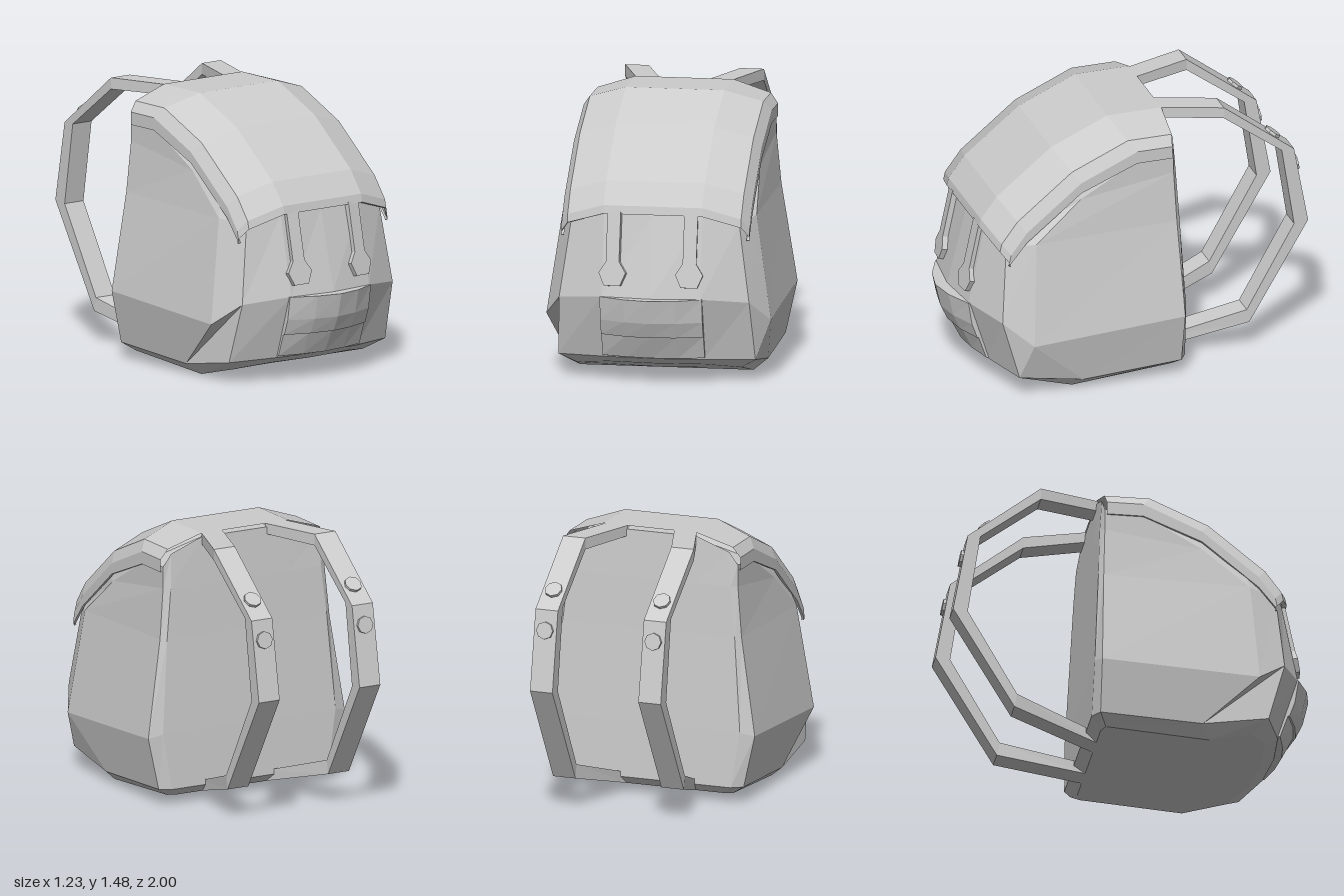
import * as THREE from 'three';

const material = new THREE.MeshStandardMaterial({ color: 0xcccccc, flatShading: true, side: THREE.DoubleSide });

// Skins a grid of points; rows[i][j] = [x, y, z]
function loft(rows) {
  const pos = [], a = new THREE.Vector3(), b = new THREE.Vector3(), c = new THREE.Vector3();
  const tri = (p, q, r) => {
    a.fromArray(p); b.fromArray(q).sub(a); c.fromArray(r).sub(a);
    if (b.cross(c).length() > 1e-7) pos.push(...p, ...q, ...r);
  };
  for (let i = 0; i < rows.length - 1; i++) {
    for (let j = 0; j < rows[i].length - 1; j++) {
      tri(rows[i][j], rows[i + 1][j], rows[i][j + 1]);
      tri(rows[i][j + 1], rows[i + 1][j], rows[i + 1][j + 1]);
    }
  }
  const g = new THREE.BufferGeometry();
  g.setAttribute('position', new THREE.Float32BufferAttribute(pos, 3));
  g.computeVertexNormals();
  return g;
}

function part(parent, name, geometry) {
  const m = new THREE.Mesh(geometry, material);
  m.name = name;
  parent.add(m);
  return m;
}

// Body ring: flat back panel, then corner, side and front points, mirrored
function bodyRing(y, z, points) {
  const half = [[0, y, z], [0.27, y, z], ...points];
  const mirrored = half.slice(0, -1).reverse().map(([px, py, pz]) => [-px, py, pz]);
  return [...half, ...mirrored];
}

function bodyGeometry() {
  const rings = [
    bodyRing(0.04, -0.2, [[0.42, 0.04, -0.2], [0.475, 0.04, -0.18], [0.475, 0, 0.38], [0.45, 0.06, 0.62], [0.27, 0.09, 0.72], [0, 0.09, 0.74]]),
    bodyRing(0.09, -0.26, [[0.49, 0.09, -0.26], [0.55, 0.09, -0.22], [0.55, 0.06, 0.34], [0.54, 0.12, 0.7], [0.27, 0.13, 0.79], [0, 0.13, 0.81]]),
    bodyRing(0.4, -0.25, [[0.54, 0.4, -0.25], [0.615, 0.38, -0.22], [0.615, 0.33, 0.64], [0.52, 0.45, 0.79], [0.27, 0.48, 0.9], [0, 0.48, 0.93]]),
    bodyRing(0.92, -0.225, [[0.5, 0.92, -0.225], [0.53, 0.92, -0.2], [0.53, 0.9, 0.6], [0.46, 0.87, 0.75], [0.27, 0.92, 0.81], [0, 0.92, 0.82]]),
    bodyRing(1.2, -0.213, [[0.47, 1.2, -0.213], [0.505, 1.2, -0.19], [0.505, 1.12, 0.34], [0.46, 1.12, 0.54], [0.27, 1.2, 0.57], [0, 1.2, 0.57]]),
    bodyRing(1.46, -0.2, [[0.46, 1.39, -0.2], [0.505, 1.32, -0.19], [0.505, 1.3, 0.02], [0.46, 1.38, 0.05], [0.27, 1.455, 0.1], [0, 1.46, 0.1]]),
  ];
  const cap = (y, z) => rings[0].map(() => [0, y, z]);
  return loft([cap(0, 0.38), ...rings, cap(1.46, -0.05)]);
}

// Lid: rounded section swept along the top profile, with a turned-in lip
function flapGeometry() {
  const profile = [ // z, y, sideways shift in z, drop of the side band
    [-0.2, 1.48, 0.02, 0.07], [0.11, 1.48, -0.09, 0.07], [0.43, 1.34, -0.09, 0.06],
    [0.74, 1.09, -0.09, 0.06], [0.83, 0.97, -0.09, 0.05], [0.84, 0.925, -0.09, 0.02], [0.81, 0.92, -0.07, 0.02],
  ];
  return loft(profile.map(([z, y, dz, drop]) => {
    const half = [
      [0.27, y, z], [0.475, y - 0.065, z + dz * 0.55], [0.515, y - 0.12, z + dz],
      [0.515, y - 0.12 - drop, z + dz], [0.5, y - 0.12 - drop, z + dz],
    ];
    return [...half.map(([px, py, pz]) => [-px, py, pz]).reverse(), ...half];
  }));
}

// Bowed front pocket with a stepped cover
function pocketGeometry() {
  const rows = [ // y, centre z, bow depth
    [0.48, 0.85, 0], [0.48, 0.998, 0.095], [0.35, 0.968, 0.085], [0.265, 0.928, 0.075],
    [0.265, 0.915, 0.07], [0.14, 0.852, 0.05], [0.13, 0.76, 0],
  ];
  return loft(rows.map(([y, z, bow]) => {
    const half = [[0.14, y, z - bow * 0.3], [0.28, y, z - bow], [0.28, y, 0.76]];
    return [...half.map(([px, py, pz]) => [-px, py, pz]).reverse(), [0, y, z], ...half];
  }));
}

// Shoulder strap: rectangular section through outer and inner path points
function strapGeometry(side) {
  const path = [ // outer z, y, inner z, y, centre x
    [-0.19, 1.478, -0.19, 1.42, 0.2], [-0.52, 1.478, -0.52, 1.415, 0.315],
    [-0.92, 1.17, -0.85, 1.17, 0.315], [-1, 0.73, -0.92, 0.72, 0.315],
    [-0.665, 0.17, -0.65, 0.245, 0.315], [-0.2, 0.04, -0.2, 0.1, 0.2],
  ];
  return loft(path.map(([oz, oy, iz, iy, cx]) => {
    const x = cx * side, w = 0.065;
    return [[x + w, oy, oz], [x - w, oy, oz], [x - w, iy, iz], [x + w, iy, iz], [x + w, oy, oz]];
  }));
}

// Closing strap with a hexagonal tab, hanging from its upper end
function closureGeometry() {
  const half = [[0.037, 0], [0.037, -0.27], [0.075, -0.33], [0.045, -0.4]];
  const outline = [...half, ...half.map(([x, y]) => [-x, y]).reverse()];
  const shape = new THREE.Shape(outline.map(([x, y]) => new THREE.Vector2(x, y)));
  return new THREE.ExtrudeGeometry(shape, { depth: 0.03, bevelEnabled: false });
}

export function createModel() {
  const group = new THREE.Group();
  group.name = 'backpack';
  part(group, 'body', bodyGeometry());
  part(group, 'lid', flapGeometry());
  part(group, 'frontPocket', pocketGeometry());

  for (const side of [-1, 1]) {
    const label = side > 0 ? 'left' : 'right';
    part(group, label + 'ShoulderStrap', strapGeometry(side));

    const closure = part(group, label + 'ClosureStrap', closureGeometry());
    closure.position.set(0.208 * side, 0.93, 0.807);
    closure.rotation.set(-0.21, 0.1 * side, 0);

    // Studs on the outside of the shoulder strap
    for (const [y, z, ny, nz] of [[1.252, -0.815, 0.79, -0.61], [1.06, -0.94, 0.98 * 0.18, -0.98]]) {
      const stud = part(group, label + 'StrapStud', new THREE.CylinderGeometry(0.048, 0.048, 0.03, 8));
      stud.position.set(0.315 * side, y, z);
      stud.quaternion.setFromUnitVectors(new THREE.Vector3(0, 1, 0), new THREE.Vector3(0, ny, nz).normalize());
    }
  }
  return group;
}
